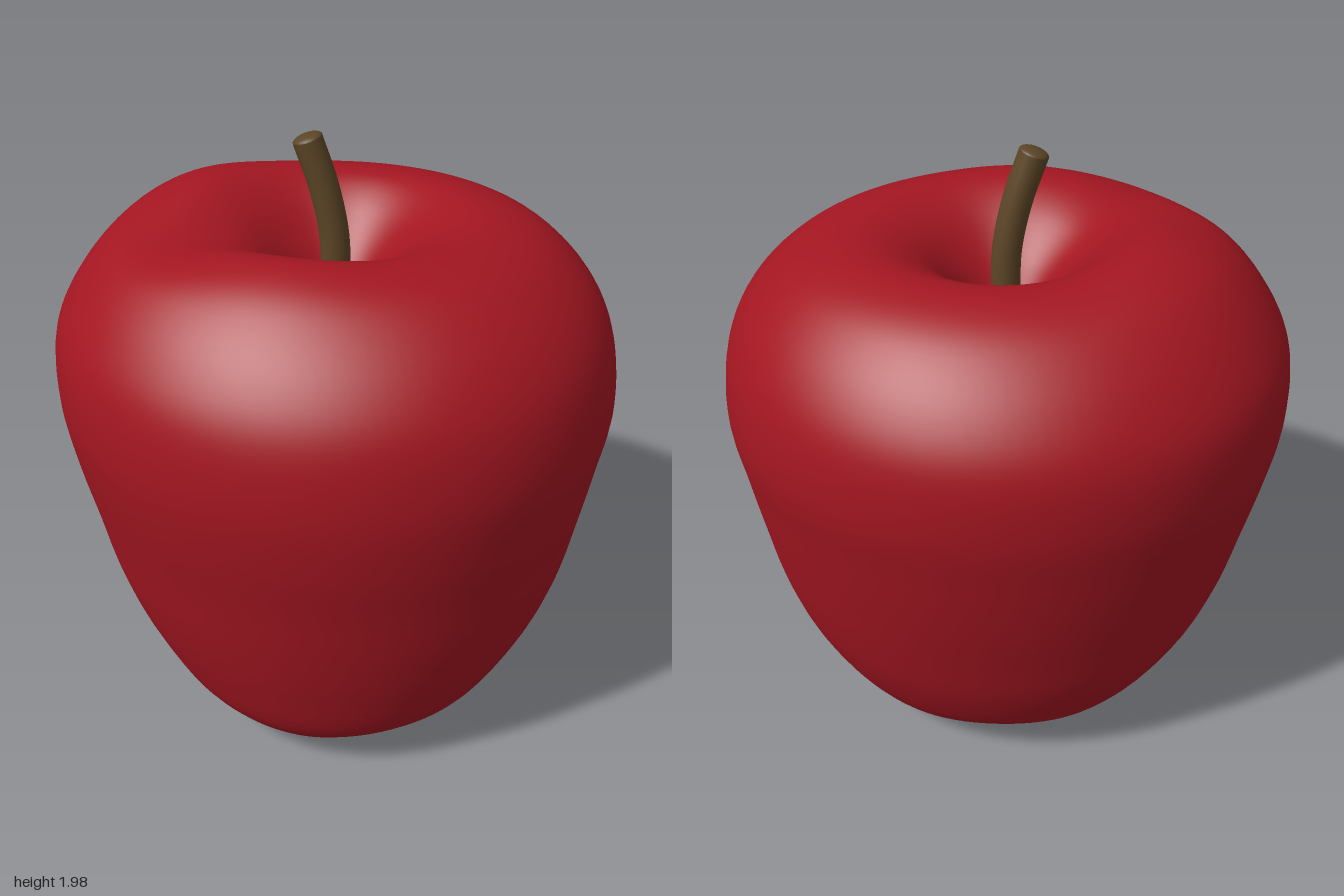
import * as THREE from 'three';
import { mergeVertices } from 'three/addons/utils/BufferGeometryUtils.js';

// Half-profiles of the fruit, bottom dimple to stem cavity: y, then radius toward +x, +z, -x, -z
const ROWS = [
  [0.16, 0, 0, 0, 0],
  [0.14, 0.09, 0.09, 0.09, 0.09],
  [0.06, 0.19, 0.20, 0.19, 0.18],
  [0.015, 0.34, 0.36, 0.32, 0.30],
  [0.06, 0.46, 0.48, 0.44, 0.41],
  [0.2, 0.595, 0.62, 0.57, 0.54],
  [0.4, 0.71, 0.69, 0.69, 0.64],
  [0.6, 0.78, 0.74, 0.765, 0.70],
  [0.8, 0.82, 0.78, 0.81, 0.755],
  [1.0, 0.855, 0.82, 0.855, 0.80],
  [1.2, 0.885, 0.838, 0.887, 0.835],
  [1.4, 0.86, 0.81, 0.875, 0.825],
  [1.55, 0.79, 0.725, 0.80, 0.745],
  [1.67, 0.675, 0.60, 0.69, 0.62],
  [1.73, 0.55, 0.49, 0.56, 0.50],
  [1.745, 0.41, 0.38, 0.43, 0.38],
  [1.69, 0.27, 0.26, 0.29, 0.28],
  [1.58, 0.16, 0.15, 0.17, 0.18],
  [1.46, 0.08, 0.07, 0.08, 0.09],
  [1.41, 0, 0, 0, 0],
];

// Uneven rim: x, z, height, spread
const BUMPS = [
  [-0.45, -0.28, 0.035, 0.25],
  [-0.1, 0.42, 0.012, 0.22],
  [-0.42, 0.15, -0.04, 0.18],
  [0.5, 0.1, -0.012, 0.3],
];

function fruitGeometry() {
  const sides = 96, steps = 100;
  const profiles = [1, 2, 3, 4].map((k) =>
    new THREE.SplineCurve(ROWS.map((r) => new THREE.Vector2(r[k], r[0]))));
  const guide = [];
  for (let i = 0; i <= steps; i++) guide.push(new THREE.Vector2(1, i / steps));

  let geo = new THREE.LatheGeometry(guide, sides);
  const pos = geo.attributes.position;
  for (let i = 0; i < pos.count; i++) {
    const dx = pos.getX(i), dz = pos.getZ(i), t = pos.getY(i);
    // Blend the four profiles around the axis
    let r = 0, y = 0;
    [dx, dz, -dx, -dz].forEach((c, k) => {
      if (c <= 0) return;
      const p = profiles[k].getPoint(t);
      r += c * c * Math.max(0, p.x);
      y += c * c * p.y;
    });
    r *= 1 + 0.025 * dx * dz * THREE.MathUtils.smoothstep(r, 0.3, 0.8);
    const x = r * dx, z = r * dz;
    const top = THREE.MathUtils.smoothstep(y, 1.4, 1.7);
    for (const [bx, bz, h, s] of BUMPS) {
      y += top * h * Math.exp(-((x - bx) ** 2 + (z - bz) ** 2) / (s * s));
    }
    // Faint lobes around the base
    const low = 1 - THREE.MathUtils.smoothstep(y, 0.05, 0.25);
    y += low * 0.01 * (1 + Math.cos(5 * Math.atan2(dz, dx) + 0.6)) * Math.min(1, r / 0.2);
    pos.setXYZ(i, x, y, z);
  }
  // Weld the seam so the shading is continuous
  geo.deleteAttribute('uv');
  geo.deleteAttribute('normal');
  geo = mergeVertices(geo, 1e-5);
  geo.computeVertexNormals();
  return geo;
}

function createStem(material) {
  const stem = new THREE.Group();
  stem.name = 'stem';
  const radius = 0.046;
  const path = new THREE.CatmullRomCurve3([
    [0, 1.36], [0, 1.52], [-0.005, 1.68], [-0.035, 1.83], [-0.083, 1.975],
  ].map(([x, y]) => new THREE.Vector3(x, y, 0.005)));
  const shaft = new THREE.Mesh(new THREE.TubeGeometry(path, 24, radius, 20), material);
  shaft.name = 'stemShaft';

  // Softly rounded end
  const cap = new THREE.Mesh(
    new THREE.SphereGeometry(radius, 20, 8, 0, Math.PI * 2, 0, Math.PI / 2), material);
  cap.name = 'stemTip';
  cap.scale.y = 0.35;
  cap.position.copy(path.getPoint(1));
  cap.quaternion.setFromUnitVectors(new THREE.Vector3(0, 1, 0), path.getTangent(1));
  stem.add(shaft, cap);
  return stem;
}

export function createModel() {
  const model = new THREE.Group();
  model.name = 'apple';
  const skin = new THREE.MeshStandardMaterial({ color: 0xa31621 });
  const bark = new THREE.MeshStandardMaterial({ color: 0x5c4526 });

  const fruit = new THREE.Mesh(fruitGeometry(), skin);
  fruit.name = 'fruit';
  model.add(fruit, createStem(bark));
  return model;
}
